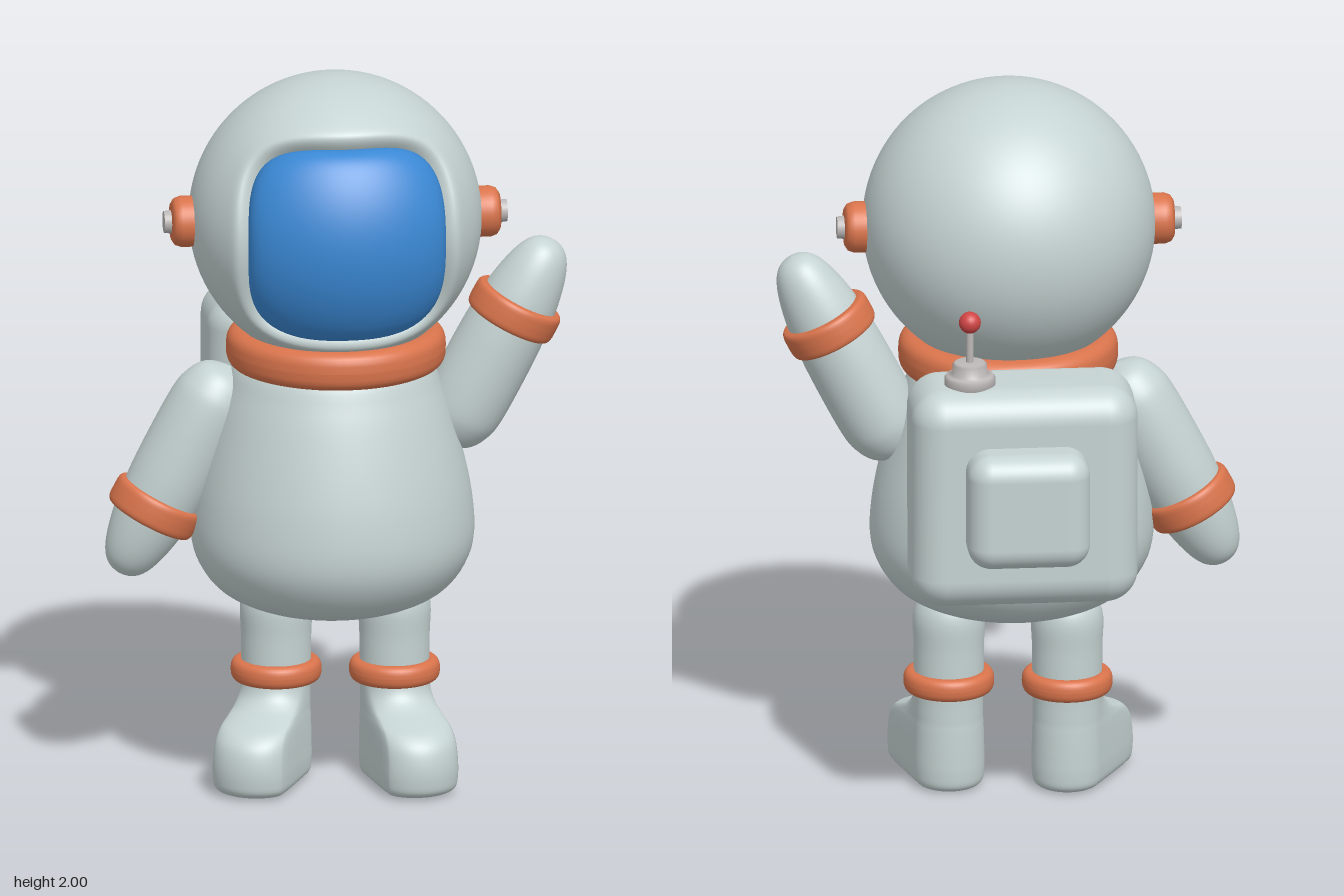
import * as THREE from 'three';
import { mergeVertices } from 'three/addons/utils/BufferGeometryUtils.js';
import { RoundedBoxGeometry } from 'three/addons/geometries/RoundedBoxGeometry.js';
import { ParametricGeometry } from 'three/addons/geometries/ParametricGeometry.js';

const mat = (color) => new THREE.MeshStandardMaterial({ color });
const V2 = (p) => new THREE.Vector2(p[0], p[1]);

export function createModel() {
  const model = new THREE.Group();
  const suit = mat(0xc5d3d2), orange = mat(0xd9744c), blue = mat(0x3a88d4);
  const metal = mat(0xbdb8b8), red = mat(0xd04545);

  const add = (name, geo, material, pos = [0, 0, 0], parent = model) => {
    const mesh = new THREE.Mesh(geo, material);
    mesh.name = name;
    mesh.position.set(...pos);
    parent.add(mesh);
    return mesh;
  };
  // smooth solid of revolution through a few (radius, height) points
  const turned = (pts, div = 48, seg = 64) => {
    const curve = new THREE.SplineCurve(pts.map(V2)).getPoints(div);
    curve.forEach((p) => { p.x = Math.max(0, p.x); });
    return new THREE.LatheGeometry(curve, seg);
  };
  // rounded band: superellipse section turned around y
  const band = (inner, outer, height, power = 3) => {
    const pts = [], c = (inner + outer) / 2, w = (outer - inner) / 2;
    const f = (t) => Math.sign(t) * Math.abs(t) ** (2 / power);
    for (let i = 0; i <= 28; i++) {
      const a = (i / 28) * Math.PI * 2;
      pts.push(new THREE.Vector2(c + w * f(Math.cos(a)), (height / 2) * f(Math.sin(a))));
    }
    return new THREE.LatheGeometry(pts, 64);
  };

  // torso
  const torso = add('torso', turned([
    [0, 0.49], [0.12, 0.495], [0.22, 0.515], [0.31, 0.56], [0.365, 0.63], [0.387, 0.71],
    [0.38, 0.82], [0.358, 0.93], [0.325, 1.05], [0.297, 1.13], [0.265, 1.2], [0.2, 1.23], [0, 1.24],
  ]), suit, [-0.016, 0, 0.14]);
  torso.scale.z = 0.965;
  add('neckRing', band(0.18, 0.3, 0.11), orange, [-0.006, 1.235, 0.135]);

  // helmet with a rounded-square opening, and the visor filling it
  const opening = (a, n = 3.4) =>
    (Math.abs(Math.cos(a) / 0.287) ** n + Math.abs(Math.sin(a) / 0.285) ** n) ** (-1 / n);
  const polar = (a, th, r, out) =>
    out.set(r * Math.sin(th) * Math.cos(a), r * Math.sin(th) * Math.sin(a), r * Math.cos(th));
  const head = new THREE.Group();
  head.name = 'head';
  head.position.set(-0.008, 1.6, 0.135);
  model.add(head);
  add('helmet', new ParametricGeometry((u, v, out) => {
    const a = -u * Math.PI * 2, start = Math.asin(opening(a) / 0.4);
    const d = (Math.PI - 0.002 - start) * v ** 2;
    const r = 0.4 + 0.014 * Math.exp(-d / 0.12) - 0.05 * Math.exp(-d / 0.025);
    polar(a, start + d, r, out);
  }, 96, 64), suit, [0, 0, 0], head);
  add('visor', new ParametricGeometry((u, v, out) => {
    const a = -u * Math.PI * 2, t = 0.002 + 0.998 * (1 - (1 - v) ** 1.8);
    polar(a, Math.asin((opening(a) * t) / 0.4), 0.411 - 0.035 * t ** 14, out);
  }, 96, 40), blue, [0, -0.004, 0], head);

  // ear pieces on both sides
  for (const s of [1, -1]) {
    const ear = new THREE.Group();
    ear.name = s > 0 ? 'leftEarpiece' : 'rightEarpiece';
    ear.rotation.z = -s * Math.PI / 2;
    head.add(ear);
    const disc = [[0, 0.36], [0.06, 0.36], [0.07, 0.375], [0.07, 0.425], [0.064, 0.442], [0.05, 0.451], [0, 0.452]];
    add('earDisc', new THREE.LatheGeometry(disc.map(V2), 40), orange, [0, 0, 0], ear);
    add('earCap', new THREE.CylinderGeometry(0.03, 0.034, 0.04, 24), metal, [0, 0.451, 0], ear);
  }

  // arms: tapered capsules from fingertip to shoulder, with a cuff
  const makeArm = (name, tip, shoulder, cuffAt) => {
    const arm = new THREE.Group(), a = new THREE.Vector3(...tip);
    const dir = new THREE.Vector3(...shoulder).sub(a), L = dir.length();
    arm.name = name;
    arm.position.copy(a);
    arm.quaternion.setFromUnitVectors(new THREE.Vector3(0, 1, 0), dir.normalize());
    model.add(arm);
    add('sleeveAndHand', turned([
      [0, 0], [0.035, 0.01], [0.062, 0.036], [0.083, 0.085], [0.1, 0.16], [0.109, 0.24], [0.114, 0.34],
      [0.113, L - 0.14], [0.1, L - 0.07], [0.065, L - 0.02], [0, L],
    ], 48, 48), suit, [0, 0, 0], arm);
    add('cuff', band(0.08, 0.127, 0.08, 4), orange, [0, cuffAt, 0], arm);
  };
  makeArm('leftArm', [0.588, 1.518, 0.145], [0.29, 0.945, 0.125], 0.225);
  makeArm('rightArm', [-0.6, 0.607, 0.13], [-0.295, 1.185, 0.13], 0.21);

  // legs: turned column whose front is pushed out into a boot; rows are (radius, height, toe)
  const rows = [
    [0, 0, 0], [0.04, 0, 0.17], [0.075, 0.002, 0.18], [0.092, 0.016, 0.19], [0.097, 0.05, 0.194],
    [0.097, 0.1, 0.193], [0.096, 0.145, 0.18], [0.095, 0.175, 0.15], [0.094, 0.195, 0.1], [0.094, 0.215, 0.05],
    [0.094, 0.245, 0.015], [0.095, 0.29, 0], [0.096, 0.4, 0], [0.096, 0.5, 0], [0.07, 0.545, 0], [0, 0.56, 0],
  ];
  const legGeometry = () => {
    const pts = new THREE.CatmullRomCurve3(rows.map((r) => new THREE.Vector3(...r))).getPoints(75);
    let geo = new THREE.LatheGeometry(pts.map((p) => new THREE.Vector2(Math.max(0, p.x), Math.max(0, p.y))), 64);
    const pos = geo.attributes.position;
    for (let i = 0; i < pos.count; i++) {
      const p = pts[i % pts.length], z = pos.getZ(i);
      if (z <= 0 || p.x < 1e-4) continue;
      const k = THREE.MathUtils.smoothstep(z / p.x, 0, 0.4) * Math.max(0, p.z);
      pos.setZ(i, z + k);
      pos.setX(i, pos.getX(i) * (1 + 0.7 * k));
    }
    geo.deleteAttribute('uv');
    geo.deleteAttribute('normal');
    geo = mergeVertices(geo, 1e-5);
    geo.computeVertexNormals();
    return geo;
  };
  for (const [name, x, z, turn] of [['leftLeg', 0.16, 0.095, 0.22], ['rightLeg', -0.161, 0.06, -0.46]]) {
    const leg = new THREE.Group();
    leg.name = name;
    leg.position.set(x, 0, z);
    leg.rotation.y = turn;
    model.add(leg);
    add('legAndBoot', legGeometry(), suit, [0, 0, 0], leg);
    add('ankleBand', band(0.075, 0.124, 0.062, 2.5), orange, [0, 0.302, 0], leg);
  }

  // backpack, its front face sloping back toward the bottom
  const packGeo = new RoundedBoxGeometry(0.62, 0.62, 0.31, 8, 0.09);
  const pp = packGeo.attributes.position;
  for (let i = 0; i < pp.count; i++) {
    const z = pp.getZ(i);
    if (z > 0) pp.setZ(i, z - (z / 0.155) * 0.06 * (0.5 - pp.getY(i) / 0.62));
  }
  packGeo.computeVertexNormals();
  packGeo.deleteAttribute('uv');
  packGeo.deleteAttribute('normal');
  const packSmooth = mergeVertices(packGeo, 1e-5);
  packSmooth.computeVertexNormals();
  add('backpack', packSmooth, suit, [-0.008, 0.98, -0.275]);
  add('backpackPocket', new RoundedBoxGeometry(0.335, 0.325, 0.24, 8, 0.065), suit, [-0.008, 0.982, -0.425]);

  // antenna
  const base = [[0, 1.26], [0.07, 1.26], [0.07, 1.307], [0.063, 1.316], [0.047, 1.318], [0.047, 1.346], [0.04, 1.352], [0, 1.352]];
  const antenna = new THREE.Group();
  antenna.name = 'antenna';
  antenna.position.set(0.137, 0, -0.297);
  model.add(antenna);
  add('antennaBase', new THREE.LatheGeometry(base.map(V2), 40), metal, [0, 0, 0], antenna);
  add('antennaRod', new THREE.CylinderGeometry(0.01, 0.01, 0.12, 16), metal, [0, 1.4, 0], antenna);
  add('antennaBall', new THREE.SphereGeometry(0.03, 24, 16), red, [0, 1.465, 0], antenna);

  return model;
}
